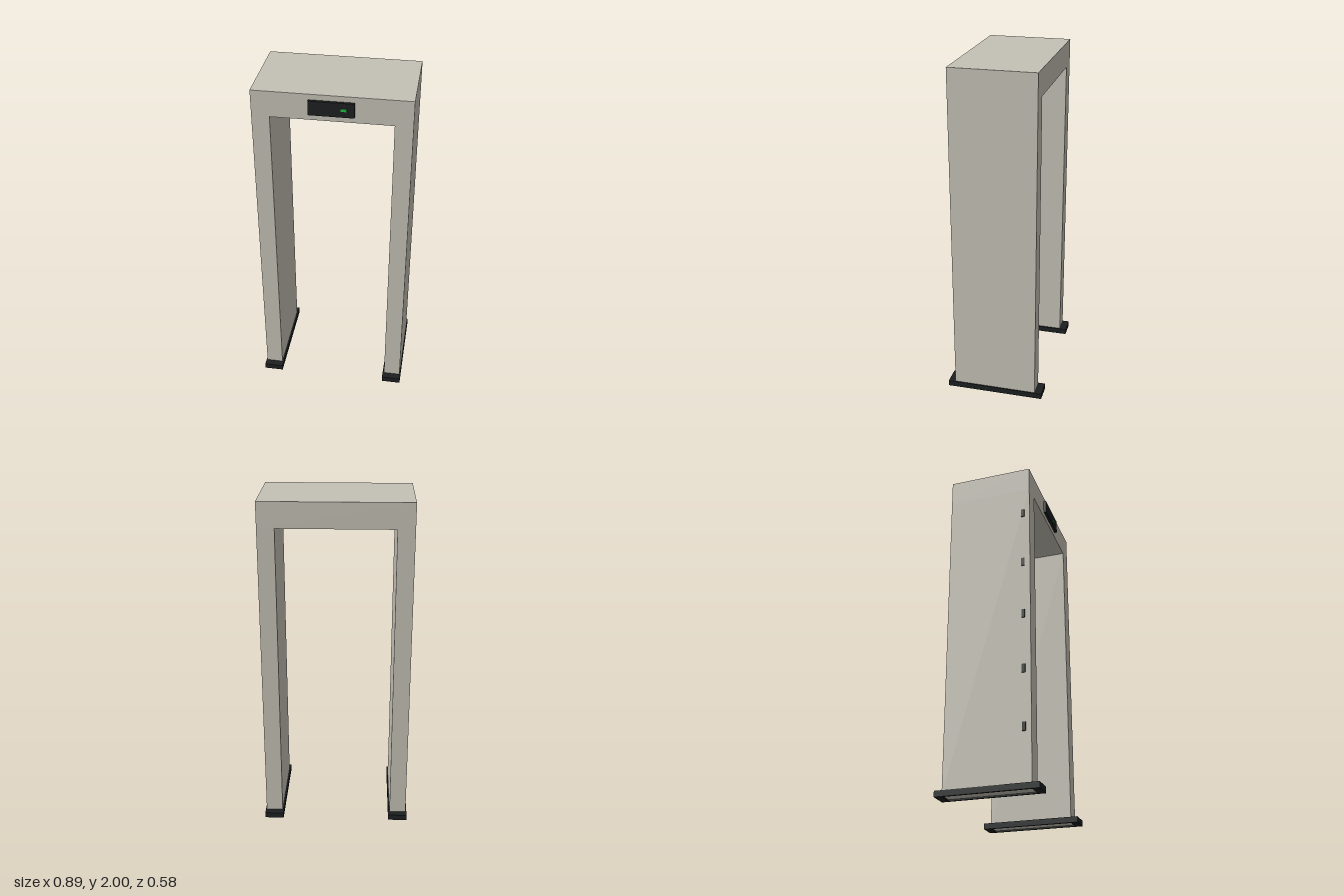
import * as THREE from 'three';

const mat = (color) => new THREE.MeshStandardMaterial({ color });

export function createModel() {
  const model = new THREE.Group();
  const shell = mat(0xc4c0b5), dark = mat(0x1c1f20), green = mat(0x22bb44);

  // box given by its extents along each axis
  const box = (name, material, [x0, x1], [y0, y1], [z0, z1]) => {
    const mesh = new THREE.Mesh(new THREE.BoxGeometry(x1 - x0, y1 - y0, z1 - z0), material);
    mesh.position.set((x0 + x1) / 2, (y0 + y1) / 2, (z0 + z1) / 2);
    mesh.name = name;
    model.add(mesh);
    return mesh;
  };

  // rectangular frame open in the middle, which the pillar stands in
  const footGeometry = () => {
    const w = 0.0575, d = 0.2925, iw = 0.045, id = 0.25;
    const outline = new THREE.Shape([[-w, -d], [w, -d], [w, d], [-w, d]].map((p) => new THREE.Vector2(...p)));
    outline.holes.push(new THREE.Path([[-iw, -id], [-iw, id], [iw, id], [iw, -id]].map((p) => new THREE.Vector2(...p))));
    return new THREE.ExtrudeGeometry(outline, { depth: 0.034, bevelEnabled: false }).rotateX(-Math.PI / 2);
  };

  // side pillars and feet
  for (const [side, s] of [['left', 1], ['right', -1]]) {
    const xs = [s * 0.337, s * 0.437].sort((a, b) => a - b);
    box(side + 'Pillar', shell, xs, [0.008, 1.85], [-0.25, 0.25]);
    const foot = new THREE.Mesh(footGeometry(), dark);
    foot.name = side + 'Foot';
    foot.position.x = s * 0.3855;
    model.add(foot);
  }

  // header across the top
  box('header', shell, [-0.437, 0.437], [1.85, 2], [-0.25, 0.25]);

  // display panel with indicator light
  box('displayPanel', dark, [-0.125, 0.125], [1.885, 1.968], [0.25, 0.266]);
  box('indicatorLight', green, [0.05, 0.084], [1.92, 1.935], [0.266, 0.269]);

  // row of side sensors near the front edge
  for (let i = 0; i < 5; i++) {
    const y = 0.34 + i * 0.336;
    box('sideSensor' + (i + 1), dark, [-0.443, -0.436], [y - 0.025, y + 0.025], [0.198, 0.218]);
  }
  return model;
}
